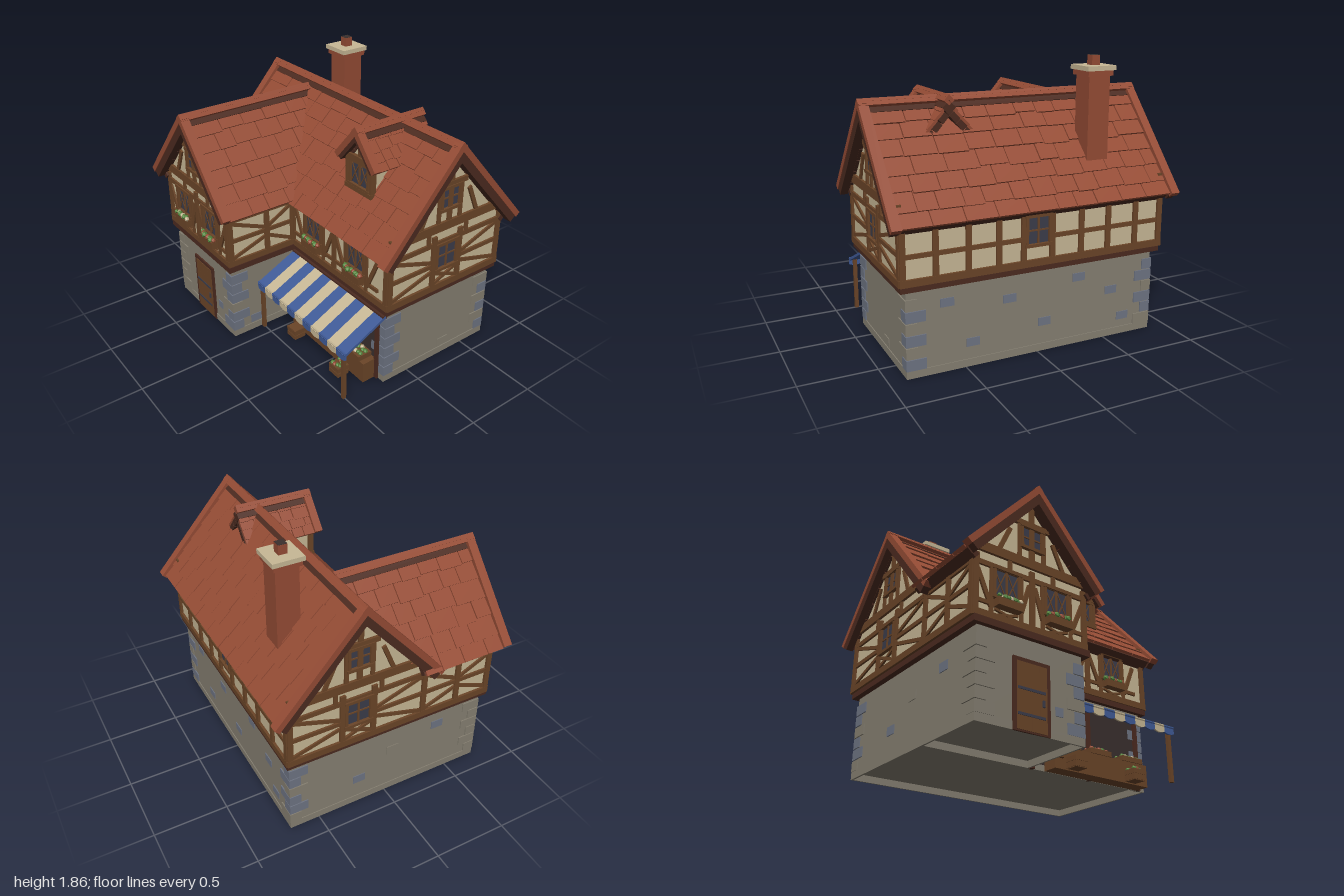
import * as THREE from 'three';
import { mergeGeometries } from 'three/addons/utils/BufferGeometryUtils.js';

const mat = (name, color, side = THREE.FrontSide) => {
  const m = new THREE.MeshStandardMaterial({ color, side });
  m.name = name;
  return m;
};
const M = {
  tile: mat('roofTile', 0x954c35), timber: mat('timber', 0x6b4528), dark: mat('darkTimber', 0x4c2b20),
  plaster: mat('plaster', 0xc8b896, THREE.DoubleSide), stone: mat('stoneWall', 0x868072), block: mat('blueStone', 0x6f7584),
  blue: mat('awningBlue', 0x405b98, THREE.DoubleSide), glass: mat('glass', 0x3c3d4b),
  leaf: mat('leaf', 0x55853c), shade: mat('shadowedInterior', 0x3a302e),
};
let seed = 7;
const rnd = () => (seed = (seed * 16807) % 2147483647) / 2147483647;

function add(parent, name, geo, m, x = 0, y = 0, z = 0) {
  const mesh = new THREE.Mesh(geo, m);
  mesh.name = name;
  mesh.position.set(x, y, z);
  parent.add(mesh);
  return mesh;
}
function group(parent, name, x = 0, y = 0, z = 0, ry = 0) {
  const g = new THREE.Group();
  g.name = name;
  g.position.set(x, y, z);
  g.rotation.y = ry;
  parent.add(g);
  return g;
}
// box given by its extents
const span = (p, name, m, x0, x1, y0, y1, z0, z1) =>
  add(p, name, new THREE.BoxGeometry(x1 - x0, y1 - y0, z1 - z0), m, (x0 + x1) / 2, (y0 + y1) / 2, (z0 + z1) / 2);
// timber lying on a wall face, from (u1,v1) to (u2,v2)
function beam(f, u1, v1, u2, v2, w = 0.035, d = 0.014) {
  const b = add(f, 'beam', new THREE.BoxGeometry(Math.hypot(u2 - u1, v2 - v1), w, d * 2), M.timber, (u1 + u2) / 2, (v1 + v2) / 2, 0);
  b.rotation.z = Math.atan2(v2 - v1, u2 - u1);
}
// gabled wall block, ridge along local z
function gableWall(p, name, half, y0, shoulder, apex, z0, z1) {
  const s = new THREE.Shape([[-half, y0], [half, y0], [half, shoulder], [0, apex], [-half, shoulder]].map(a => new THREE.Vector2(...a)));
  return add(p, name, new THREE.ExtrudeGeometry(s, { depth: z1 - z0, bevelEnabled: false }), M.plaster, 0, 0, z0);
}

// gabled roof, ridge along local x at y = 0; range(s) gives the x extent at distance s down the slope
function roof(p, name, o) {
  const g = group(p, name, ...o.pos, o.ry || 0);
  for (const side of [1, -1]) {
    const turn = group(g, 'roofSide', 0, 0, 0, side > 0 ? 0 : Math.PI);
    const f = group(turn, 'slope');
    f.rotation.x = o.angle;
    const flip = (a, b) => (side > 0 ? [a, b] : [-b, -a]);
    const tiles = [], n = o.rows, step = (o.len - 0.02) / n;
    for (let i = 0; i < n; i++) {
      const s0 = 0.03 + i * step, [x0, x1] = flip(...o.range(s0));
      span(f, 'roofBoard', M.dark, x0, x1, -0.085, -0.045, s0, s0 + step - 0.006);
      for (let x = x0; x < x1 - 0.01;) {
        let w = o.tileW * (0.75 + rnd() * 0.55);
        if (x + w > x1 - o.tileW * 0.4) w = x1 - x;
        const len = step * 1.14 + (i < n - 1 ? (rnd() - 0.5) * 0.02 : -step * 0.12);
        tiles.push(new THREE.BoxGeometry(w - 0.006, 0.018, len).rotateX(-0.08)
          .translate(x + w / 2, -0.035 + rnd() * 0.004, s0 + len / 2));
        x += w;
      }
    }
    add(f, 'tiles', mergeGeometries(tiles), M.tile);
    // eaves board
    const [e0, e1] = flip(...o.range(o.len));
    span(f, 'eavesBoard', M.dark, e0, e1, -0.08 - o.eaves, -0.05, o.len - 0.04, o.len);
    // verge boards and ridge cap
    for (const [a, b] of o.verges) {
      const [x0, x1] = flip(a, b);
      span(f, 'vergeCap', M.tile, x0, x1, -0.04, 0, 0, o.verge);
      span(f, 'vergeBoard', M.dark, x0 + 0.006, x1 - 0.006, -0.04 - o.board, -0.04, 0.03, o.verge - 0.01);
    }
    const [r0, r1] = flip(...o.ridge);
    span(f, 'ridgeCap', M.tile, r0, r1, -0.022, 0.002, 0, 0.05);
  }
}

function windowAt(f, u, v, w, h, lattice) {
  span(f, 'windowGlass', M.glass, u - w / 2, u + w / 2, v - h / 2, v + h / 2, -0.004, 0.004);
  for (const s of [-1, 1]) {
    beam(f, u + s * w / 2, v - h / 2, u + s * w / 2, v + h / 2, 0.018, 0.02);
    beam(f, u - w / 2 - 0.015, v + s * h / 2, u + w / 2 + 0.015, v + s * h / 2, 0.02, 0.024);
    if (lattice) for (const k of [-1, 1])
      beam(f, u + s * w / 4 - w / 4, v - k * h / 2, u + s * w / 4 + w / 4, v + k * h / 2, 0.007, 0.008);
  }
  beam(f, u, v - h / 2, u, v + h / 2, 0.012, 0.012);
  if (!lattice) beam(f, u - w / 2, v, u + w / 2, v, 0.01, 0.01);
}
// row of leaves with every third plant in another colour
function plants(p, x0, x1, y, z, n, r, bloom = M.tile, leaf = M.leaf) {
  for (let i = 0; i < n; i++)
    add(p, 'plant', new THREE.IcosahedronGeometry(r * (0.8 + rnd() * 0.4), 0), i % 3 === 1 ? bloom : leaf,
      x0 + (x1 - x0) * (i + 0.5) / n, y, z + (rnd() - 0.5) * r);
}
function flowerWindow(f, u, bloom) {
  windowAt(f, u, 0.845, 0.175, 0.19, true);
  span(f, 'flowerBox', M.timber, u - 0.085, u + 0.085, 0.685, 0.735, 0, 0.055);
  plants(f, u - 0.085, u + 0.085, 0.747, 0.038, 8, 0.019, bloom);
  for (const s of [-1, 1]) {
    beam(f, u + s * 0.105, 0.62, u + s * 0.105, 0.95, 0.022);
    beam(f, u - 0.08, 0.655 - s * 0.02, u + 0.08, 0.655 + s * 0.02, 0.015);
  }
}
// storey frame: sill, top rail and posts
function storey(f, u0, u1, posts) {
  beam(f, u0 - 0.01, 0.62, u1 + 0.01, 0.62, 0.045, 0.017);
  beam(f, u0, 0.945, u1, 0.945, 0.032);
  for (const u of [u0 + 0.01, ...posts, u1 - 0.01]) beam(f, u, 0.6, u, 1.0, 0.036, 0.016);
}
// panels with a middle rail and alternating braces
function braced(f, us, flip = 1) {
  for (let i = 0; i < us.length - 1; i++) {
    const a = us[i], b = us[i + 1], k = (i % 2 ? 1 : -1) * flip;
    beam(f, a, 0.79, b, 0.79, 0.028);
    beam(f, a, 0.87 - k * 0.06, b, 0.87 + k * 0.06, 0.024, 0.012);
    beam(f, a, 0.7 + k * 0.05, b, 0.7 - k * 0.05, 0.024, 0.012);
  }
}
function gableFrame(f, c, half, tie, win) {
  beam(f, c - half, tie, c + half, tie, 0.06, 0.018);
  beam(f, c, tie, c, win + 0.25, 0.035);
  beam(f, c - 0.13, win + 0.095, c + 0.13, win + 0.095, 0.035, 0.018);
  windowAt(f, c, win, 0.15, 0.15, false);
  for (const s of [-1, 1]) {
    beam(f, c + s * 0.09, tie, c + s * 0.09, win + 0.1, 0.026);
    beam(f, c + s * 0.25, tie, c + s * 0.16, win + 0.02, 0.028);
    beam(f, c + s * 0.16, 0.96, c + s * 0.16, tie, 0.026);
  }
}
// corner blocks, the listed courses in blue stone
function quoins(p, x, z, sx, sz, blue) {
  for (let i = 0; i < 6; i++) {
    const a = i % 2 ? 0.075 : 0.13, b = i % 2 ? 0.13 : 0.08, y = 0.05 + i * 0.077;
    add(p, 'cornerStone', new THREE.BoxGeometry(a, 0.07, b), blue.includes(i) ? M.block : M.stone,
      x + sx * (0.008 - a / 2), y + 0.035, z + sz * (0.008 - b / 2));
  }
}

export function createModel() {
  const root = new THREE.Group();
  root.name = 'timberFramedShop';
  const H = Math.PI / 2, ANG = 0.843, T = Math.tan(ANG);

  // ground floor, with a plinth that is hollow below
  const ground = group(root, 'groundFloor');
  for (const [x0, x1, z0, z1] of [[-0.86, 0.88, -0.7, 0.2], [-0.86, -0.11, 0.2, 0.73]]) {
    span(ground, 'stoneWall', M.stone, x0, x1, 0.045, 0.58, z0, z1);
    for (const x of [x0, x1]) span(ground, 'plinth', M.stone, x - 0.006, x + 0.006, 0, 0.05, z0 - 0.006, z1 + 0.006);
    for (const z of [z0, z1]) span(ground, 'plinth', M.stone, x0 - 0.006, x1 + 0.006, 0, 0.05, z - 0.006, z + 0.006);
    span(root, 'beltBeam', M.dark, x0 - 0.04, x1 + 0.042, 0.56, 0.602, z0 - 0.033, z1 + 0.033);
  }
  for (const q of [[-0.86, 0.73, -1, 1, []], [-0.11, 0.73, 1, 1, [0, 1, 3, 4, 5]], [0.88, 0.2, 1, 1, [0, 1, 2, 3, 4, 5]],
    [0.88, -0.7, 1, -1, [0, 2, 4]], [-0.86, -0.7, -1, -1, [1, 2, 4, 5]]]) quoins(ground, ...q);
  for (const [x, y, z] of [[-0.29, 0.17, 0.73], [-0.55, 0.33, -0.7], [-0.3, 0.46, -0.7], [-0.05, 0.2, -0.7], [0.2, 0.4, -0.7], [0.45, 0.16, -0.7], [0.62, 0.45, -0.7], [-0.65, 0.13, -0.7]])
    add(ground, 'wallStone', new THREE.BoxGeometry(z > 0 ? 0.055 : 0.09, 0.055, 0.01), M.block, x, y, z);
  for (const [x, y, z, m] of [[0.88, 0.09, -0.32, M.stone], [-0.11, 0.31, 0.38, M.stone], [-0.11, 0.09, 0.55, M.block], [-0.86, 0.42, 0.4, M.block], [-0.86, 0.2, -0.2, M.block], [-0.86, 0.35, 0.05, M.stone]])
    add(ground, 'wallStone', new THREE.BoxGeometry(0.01, 0.06, 0.09), m, x, y, z);

  // door
  const door = group(root, 'door', -0.49, 0, 0.73);
  span(door, 'doorFrame', M.dark, -0.13, 0.13, 0, 0.435, 0, 0.012);
  for (let i = 0; i < 4; i++) span(door, 'doorPlank', M.timber, -0.105 + i * 0.0525, -0.0535 + i * 0.0525, 0.01, 0.41, 0, 0.016);
  for (const y of [0.1, 0.25]) span(door, 'hinge', M.glass, -0.1, 0.09, y - 0.008, y + 0.008, 0, 0.02);
  span(door, 'handle', M.glass, 0.07, 0.085, 0.165, 0.205, 0, 0.024);

  // upper floor walls
  const wing = group(root, 'wing', -0.495);
  gableWall(wing, 'wingWall', 0.405, 0.59, 1.0, 1.455, -0.1, 0.745);
  const main = group(root, 'mainHouse', 0, 0, -0.25, H);
  gableWall(main, 'mainWall', 0.475, 0.59, 0.965, 1.5, -0.9, 0.915);

  // timber framing
  const wf = group(root, 'wingFrontFrame', -0.495, 0, 0.745);
  storey(wf, -0.405, 0.405, [0]);
  gableFrame(wf, 0, 0.4, 1.05, 1.23);
  for (const s of [-1, 1]) {
    flowerWindow(wf, s * 0.183, s > 0 ? M.tile : M.plaster);
    beam(wf, s * 0.02, 0.9, s * 0.08, 0.7, 0.028);
    beam(wf, s * 0.29, 0.68, s * 0.385, 0.9, 0.028);
    beam(wf, s * 0.29, 0.7, s * 0.4, 0.7, 0.024);
  }
  const mf = group(root, 'mainFrontFrame', 0, 0, 0.225);
  storey(mf, -0.09, 0.915, [0.385]);
  for (const u of [0.16, 0.61]) {
    flowerWindow(mf, u, M.tile);
    for (const s of [-1, 1]) {
      beam(mf, u + s * 0.115, 0.68, u + s * 0.21, 0.9, 0.028);
      beam(mf, u + s * 0.1, 0.7, u + s * 0.22, 0.7, 0.024);
    }
  }
  const rf = group(root, 'rightFrame', 0.915, 0, 0, H);
  storey(rf, -0.225, 0.725, [0.14, 0.36]);
  const lf = group(root, 'leftFrame', -0.9, 0, 0, -H);
  storey(lf, -0.725, 0.745, [-0.36, -0.14, 0.23, 0.49]);
  braced(lf, [0.23, 0.49, 0.74]);
  for (const [f, c] of [[rf, 0.25], [lf, -0.25]]) {
    gableFrame(f, c, 0.47, 1.06, 1.25);
    windowAt(f, c, 0.84, 0.17, 0.185, false);
    braced(f, [c - 0.47, c - 0.11]);
    braced(f, [c + 0.11, c + 0.47], -1);
    for (const s of [-1, 1]) beam(f, c - 0.1, 0.69 - s * 0.04, c + 0.1, 0.69 + s * 0.04, 0.02);
  }
  const wr = group(root, 'wingSideFrame', -0.09, 0, 0, H);
  storey(wr, -0.745, -0.23, [-0.45]);
  braced(wr, [-0.74, -0.45, -0.24]);
  const bf = group(root, 'backFrame', 0, 0, -0.725, Math.PI);
  storey(bf, -0.915, 0.9, [-0.7, -0.49, -0.29, -0.12, 0.08, 0.29, 0.49, 0.7]);
  for (const s of [-1, 1]) beam(bf, s * 0.9, 0.78, s * 0.11 - 0.02, 0.78, 0.028);
  windowAt(bf, -0.02, 0.83, 0.16, 0.19, false);

  // roofs
  roof(root, 'mainRoof', { pos: [0, 1.635, -0.25], angle: ANG, len: 0.855, verge: 0.88, rows: 7, tileW: 0.17, board: 0.05, eaves: 0.04,
    range: () => [-0.915, 0.935], verges: [[-0.972, -0.912], [0.932, 0.995]], ridge: [-0.972, 0.995] });
  roof(root, 'wingRoof', { pos: [-0.492, 1.585, 0], ry: -H, angle: ANG, len: 0.757, verge: 0.762, rows: 6, tileW: 0.16, board: 0.05, eaves: 0.035,
    range: s => [-0.25 + (0.05 + s * Math.sin(ANG)) / T - 0.04, 0.775], verges: [[0.77, 0.83]], ridge: [-0.2, 0.83] });
  roof(root, 'dormerRoof', { pos: [0.468, 1.65, 0], ry: -H, angle: 0.86, len: 0.295, verge: 0.305, rows: 4, tileW: 0.09, board: 0.025, eaves: 0.012,
    range: () => [-0.41, 0.1], verges: [[0.09, 0.145]], ridge: [-0.41, 0.145] });

  // dormer front
  const dormer = group(root, 'dormer', 0.468);
  gableWall(dormer, 'dormerWall', 0.115, 1.18, 1.42, 1.55, -0.2, 0.09);
  const df = group(dormer, 'dormerFrame', 0, 0, 0.09);
  windowAt(df, 0, 1.32, 0.18, 0.17, true);
  for (const s of [-1, 1]) beam(df, s * 0.118, 1.2, s * 0.118, 1.42, 0.02, 0.02);
  for (const y of [1.215, 1.43]) beam(df, -0.13, y, 0.13, y, 0.03, 0.025);
  beam(df, 0, 1.43, 0, 1.53, 0.03);

  // chimney
  const chimney = group(root, 'chimney', -0.474, 0, -0.528);
  span(chimney, 'stack', M.tile, -0.077, 0.077, 1.1, 1.76, -0.077, 0.077);
  span(chimney, 'collar', M.tile, -0.092, 0.092, 1.735, 1.77, -0.092, 0.092);
  span(chimney, 'capSlab', M.plaster, -0.104, 0.104, 1.77, 1.8, -0.104, 0.104);
  span(chimney, 'pot', M.tile, -0.029, 0.029, 1.8, 1.862, -0.029, 0.029);
  span(chimney, 'flue', M.shade, -0.028, 0.028, 1.86, 1.864, -0.028, 0.028);

  // shop front and stall
  const shop = group(root, 'shop');
  span(shop, 'shopOpening', M.shade, -0.1, 0.8, 0.04, 0.5, 0.2, 0.208);
  for (const x of [-0.085, 0.385, 0.82]) span(shop, 'shopPost', M.dark, x - 0.016, x + 0.016, 0, 0.52, 0.19, 0.222);
  span(shop, 'shopLintel', M.dark, -0.11, 0.88, 0.505, 0.53, 0.19, 0.225);
  span(shop, 'counter', M.timber, 0.015, 0.81, 0, 0.15, 0.21, 0.315);
  for (const [x, bloom, leaf] of [[0.14, M.tile, M.leaf], [0.4, M.leaf, M.tile], [0.68, M.plaster, M.leaf]]) {
    span(shop, 'tray', M.timber, x - 0.09, x + 0.09, 0.15, 0.185, 0.215, 0.322);
    for (const z of [0.245, 0.295]) plants(shop, x - 0.08, x + 0.08, 0.188, z, 7, 0.017, bloom, leaf);
  }
  for (const x of [0.14, 0.635]) {
    span(shop, 'crate', M.timber, x - 0.045, x + 0.045, 0, 0.075, 0.335, 0.42);
    for (const y of [0.02, 0.058]) span(shop, 'crateSlat', M.timber, x - 0.048, x + 0.048, y - 0.015, y + 0.015, 0.332, 0.423);
    if (x > 0.5) for (const z of [0.355, 0.4]) plants(shop, x - 0.04, x + 0.04, 0.078, z, 4, 0.017);
  }

  // striped awning with a scalloped edge
  const awning = group(root, 'awning');
  const W = 0.99 / 11;
  const flap = new THREE.Shape().moveTo(-W / 2, 0.01).lineTo(-W / 2, -0.04).quadraticCurveTo(0, -0.062, W / 2, -0.04).lineTo(W / 2, 0.01);
  for (let i = 0; i < 11; i++) {
    const x = -0.108 + W * (i + 0.5), m = i % 2 ? M.plaster : M.blue;
    const cloth = add(awning, 'awningStripe', new THREE.BoxGeometry(W, 0.018, 0.36), m, x, 0.443, 0.362);
    cloth.rotation.x = 0.445;
    add(awning, 'awningFlap', new THREE.ExtrudeGeometry(flap, { depth: 0.012, bevelEnabled: false }), m, x, 0.373, 0.513);
  }
  for (const x of [-0.085, 0.845]) span(awning, 'awningPole', M.timber, x - 0.013, x + 0.013, 0, 0.37, 0.49, 0.514);
  return root;
}
